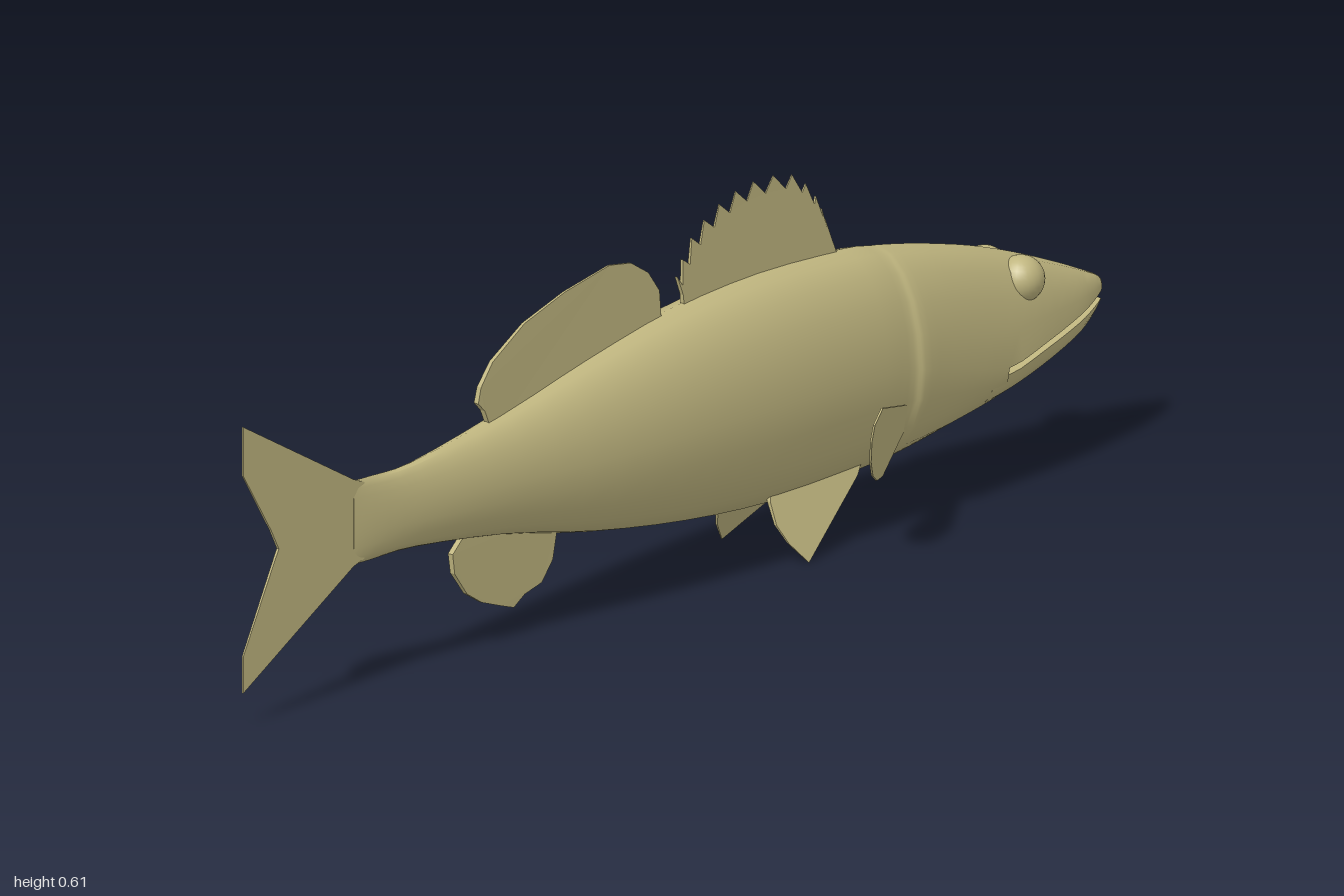
import * as THREE from 'three';
import { toCreasedNormals } from 'three/addons/utils/BufferGeometryUtils.js';

const SIDES = 20;

// Body sections: z, widest height (mouth line at the head), top, bottom, half width
const SECTIONS = [
  [-1.0, 0.252, 0.264, 0.240, 0.006],
  [-0.985, 0.249, 0.274, 0.224, 0.018],
  [-0.95, 0.243, 0.29, 0.198, 0.034],
  [-0.9, 0.234, 0.312, 0.176, 0.05],
  [-0.8, 0.218, 0.352, 0.15, 0.07],
  [-0.7, 0.203, 0.386, 0.132, 0.082],
  [-0.6, 0.225, 0.413, 0.111, 0.091],
  [-0.54, 0.242, 0.427, 0.101, 0.096],
  [-0.485, 0.255, 0.438, 0.094, 0.1],
  [-0.465, 0.257, 0.441, 0.092, 0.094],
  [-0.4, 0.266, 0.451, 0.087, 0.097],
  [-0.2, 0.272, 0.46, 0.083, 0.1],
  [0, 0.274, 0.448, 0.099, 0.093],
  [0.2, 0.27, 0.413, 0.13, 0.076],
  [0.4, 0.272, 0.37, 0.173, 0.051],
  [0.6, 0.27, 0.34, 0.2, 0.025],
  [0.7, 0.272, 0.34, 0.203, 0.012],
  [0.745, 0.273, 0.342, 0.204, 0.005],
];

// Smoothly resample the sections, three steps for each interval
function resample(rows, steps) {
  const curves = [1, 2, 3, 4].map((k) =>
    new THREE.SplineCurve(rows.map((r) => new THREE.Vector2(r[0], r[k]))));
  const n = (rows.length - 1) * steps;
  return Array.from({ length: n + 1 }, (_, i) => {
    const p = curves.map((c) => c.getPoint(i / n));
    return [p[0].x, ...p.map((q) => q.y)];
  });
}

// Skin a list of sections, closing both ends
function loft(rows) {
  const pos = [], idx = [];
  for (const [z, c, top, bottom, w] of rows) {
    for (let j = 0; j < SIDES; j++) {
      const a = (j / SIDES) * Math.PI * 2, s = Math.sin(a);
      pos.push(w * Math.cos(a), c + s * (s > 0 ? top - c : c - bottom), z);
    }
  }
  for (let i = 0; i < rows.length - 1; i++) {
    for (let j = 0; j < SIDES; j++) {
      const k = (j + 1) % SIDES;
      const a = i * SIDES + j, b = i * SIDES + k;
      idx.push(a, b, a + SIDES, b, b + SIDES, a + SIDES);
    }
  }
  const last = (rows.length - 1) * SIDES, n = pos.length / 3;
  pos.push(0, rows[0][1], rows[0][0], 0, rows.at(-1)[1], rows.at(-1)[0]);
  for (let j = 0; j < SIDES; j++) {
    const k = (j + 1) % SIDES;
    idx.push(n, k, j, n + 1, last + j, last + k);
  }
  const g = new THREE.BufferGeometry();
  g.setAttribute('position', new THREE.Float32BufferAttribute(pos, 3));
  g.setIndex(idx);
  return toCreasedNormals(g, Math.PI / 3);
}

// Thin fin from a (z, y) outline; bend gives its x, thickness its local depth
function fin(outline, bend = () => 0, thickness = () => 0.004) {
  const shape = new THREE.Shape(outline.map(([z, y]) => new THREE.Vector2(z, y)));
  const g = new THREE.ExtrudeGeometry(shape, { depth: 1, bevelEnabled: false });
  const p = g.attributes.position;
  for (let i = 0; i < p.count; i++) {
    const z = p.getX(i), y = p.getY(i), d = p.getZ(i) - 0.5;
    p.setXYZ(i, bend(z, y) - d * thickness(z, y), y, z);
  }
  g.computeVertexNormals();
  return g;
}

export function createModel() {
  const group = new THREE.Group();
  const skin = new THREE.MeshStandardMaterial({ color: 0xbfb57f });
  skin.name = 'oliveSkin';
  const add = (name, geometry) => {
    const mesh = new THREE.Mesh(geometry, skin);
    mesh.name = name;
    group.add(mesh);
    return mesh;
  };

  // Body, cut flat along the mouth in front of the jaw hinge
  const rows = resample(SECTIONS, 3);
  const front = rows.filter((r) => r[0] < -0.699);
  const back = rows.filter((r) => r[0] >= -0.701);
  const snout = front.map(([z, c, top, , w]) => [z, c, top, c - 0.001, w]);
  add('body', loft([...snout, ...back]));

  // Lower jaw, slightly narrower, leaving an open slit
  const jaw = rows.filter((r) => r[0] > -0.99 && r[0] < -0.65)
    .map(([z, c, , bottom, w]) => [z, c - 0.013, c - 0.012, Math.min(bottom + 0.002, c - 0.016), w * 0.95]);
  add('lowerJaw', loft(jaw));

  // Eyes
  for (const side of [1, -1]) {
    const eye = add(side > 0 ? 'leftEye' : 'rightEye', new THREE.SphereGeometry(0.038, 24, 16));
    eye.position.set(side * 0.038, 0.322, -0.775);
  }

  // Middle fins taper away from the body
  const taper = (z, y) => 0.01 * (1 - 0.8 * Math.min(1, Math.max(0, Math.abs(y - 0.27) - 0.12) / 0.2));
  const flat = () => 0;
  add('tailFin', fin([
    [0.72, 0.335], [0.745, 0.345], [1, 0.49], [1, 0.41], [0.935, 0.305], [0.918, 0.272],
    [0.935, 0.24], [1, 0.115], [1, 0.055], [0.745, 0.203], [0.72, 0.21],
  ], flat, (z) => 0.008 - 0.02 * Math.max(0, z - 0.75)));
  add('rearDorsalFin', fin([
    [0.42, 0.34], [0.44, 0.385], [0.455, 0.4], [0.448, 0.425], [0.42, 0.46], [0.345, 0.505],
    [0.25, 0.534], [0.145, 0.553], [0.095, 0.545], [0.055, 0.52], [0.03, 0.485], [0.025, 0.42],
  ], flat, taper));
  add('analFin', fin([
    [0.48, 0.2], [0.515, 0.168], [0.51, 0.135], [0.48, 0.095], [0.445, 0.073], [0.4, 0.057],
    [0.37, 0.047], [0.345, 0.063], [0.305, 0.073], [0.28, 0.105], [0.265, 0.18],
  ], flat, taper));

  // Spiny front dorsal fin with a row of backswept points
  const crest = new THREE.SplineCurve([
    [-0.02, 0.485], [-0.055, 0.54], [-0.12, 0.58], [-0.2, 0.598], [-0.29, 0.588], [-0.345, 0.54], [-0.365, 0.5],
  ].map(([z, y]) => new THREE.Vector2(z, y)));
  const spiny = [[-0.03, 0.42], [-0.025, 0.465]];
  const SPINES = 13;
  for (let i = 0; i < SPINES; i++) {
    const tip = crest.getPoint(i / (SPINES - 1));
    const notch = crest.getPoint(Math.min(1, (i + 0.45) / (SPINES - 1)));
    spiny.push([tip.x + 0.008, tip.y + 0.012]);
    if (i < SPINES - 1) spiny.push([notch.x, notch.y - 0.014]);
  }
  spiny.push([-0.385, 0.445], [-0.38, 0.41]);
  add('spinyDorsalFin', fin(spiny, flat, taper));

  // Paired fins, leaning out from the flanks and belly
  const pectoral = [
    [-0.47, 0.195], [-0.45, 0.203], [-0.285, 0.257], [-0.25, 0.24], [-0.25, 0.212],
    [-0.27, 0.17], [-0.3, 0.136], [-0.335, 0.115], [-0.37, 0.11], [-0.45, 0.147], [-0.47, 0.155],
  ];
  const pelvic = [
    [-0.4, 0.115], [-0.19, 0.125], [-0.178, 0.1], [-0.176, 0.065], [-0.19, 0.035], [-0.22, 0], [-0.38, 0.096],
  ];
  for (const side of [1, -1]) {
    const label = side > 0 ? 'left' : 'right';
    add(label + 'PectoralFin', fin(pectoral, (z, y) => side * (0.088 + (z + 0.45) * 0.52 + (y - 0.2) * 0.22)));
    add(label + 'PelvicFin', fin(pelvic, (z, y) => side * (0.045 + (0.1 - y) * 0.46),
      (z, y) => 0.002 + 0.05 * y));
  }
  return group;
}
